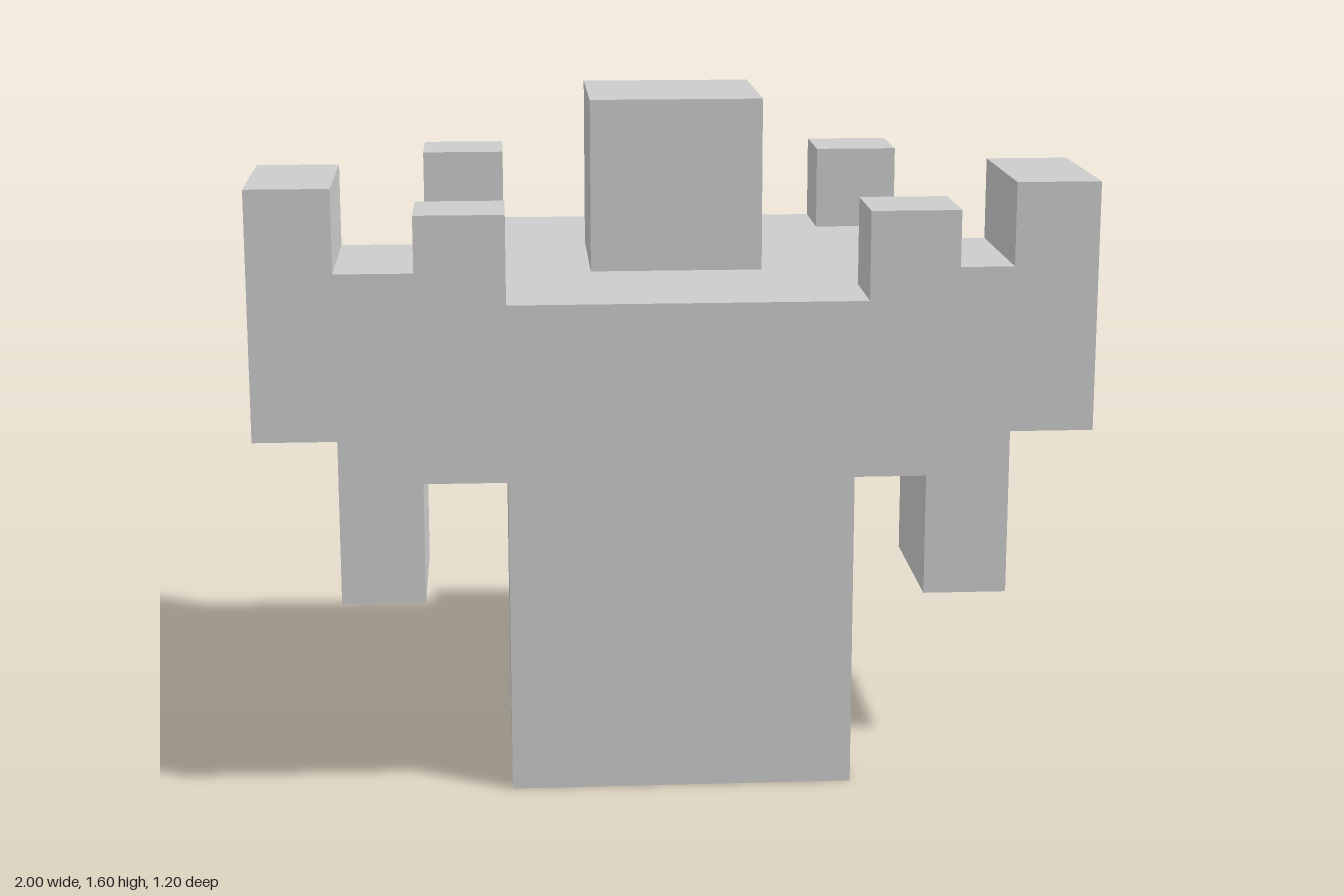
import * as THREE from 'three';

const material = new THREE.MeshStandardMaterial({ color: 0xcccccc, flatShading: true });

// Box given by its size, base height and centre in plan
function block(name, [w, h, d], x, baseY, z) {
  const mesh = new THREE.Mesh(new THREE.BoxGeometry(w, h, d), material);
  mesh.name = name;
  mesh.position.set(x, baseY + h / 2, z);
  return mesh;
}

// Stepped side arm: an inner leg hanging down, an outer block rising up
function armGeometry() {
  const profile = new THREE.Shape([
    [0.6, 0.4], [0.8, 0.4], [0.8, 0.8], [1, 0.8],
    [1, 1.4], [0.8, 1.4], [0.8, 1.2], [0.6, 1.2],
  ].map(([x, y]) => new THREE.Vector2(x, y)));
  const geometry = new THREE.ExtrudeGeometry(profile, { depth: 0.4, bevelEnabled: false });
  return geometry.translate(0, 0, -0.2);
}

export function createModel() {
  const model = new THREE.Group();
  model.name = 'blockTower';

  // Base, overhanging platform and central block
  model.add(
    block('base', [0.8, 0.8, 0.8], 0, 0, 0),
    block('platform', [1.2, 0.4, 1.2], 0, 0.8, 0),
    block('head', [0.4, 0.4, 0.4], 0, 1.2, 0),
  );

  const arm = armGeometry();
  for (const side of [1, -1]) {
    const sideName = side > 0 ? 'left' : 'right';

    // Corner posts on the platform
    for (const end of [1, -1]) {
      const endName = end > 0 ? 'Front' : 'Back';
      model.add(block(`${sideName}${endName}Post`, [0.2, 0.2, 0.2], side * 0.5, 1.2, end * 0.5));
    }

    // Side arms, the right one turned half around
    const mesh = new THREE.Mesh(arm, material);
    mesh.name = `${sideName}Arm`;
    mesh.rotation.y = side > 0 ? 0 : Math.PI;
    model.add(mesh);
  }
  return model;
}
